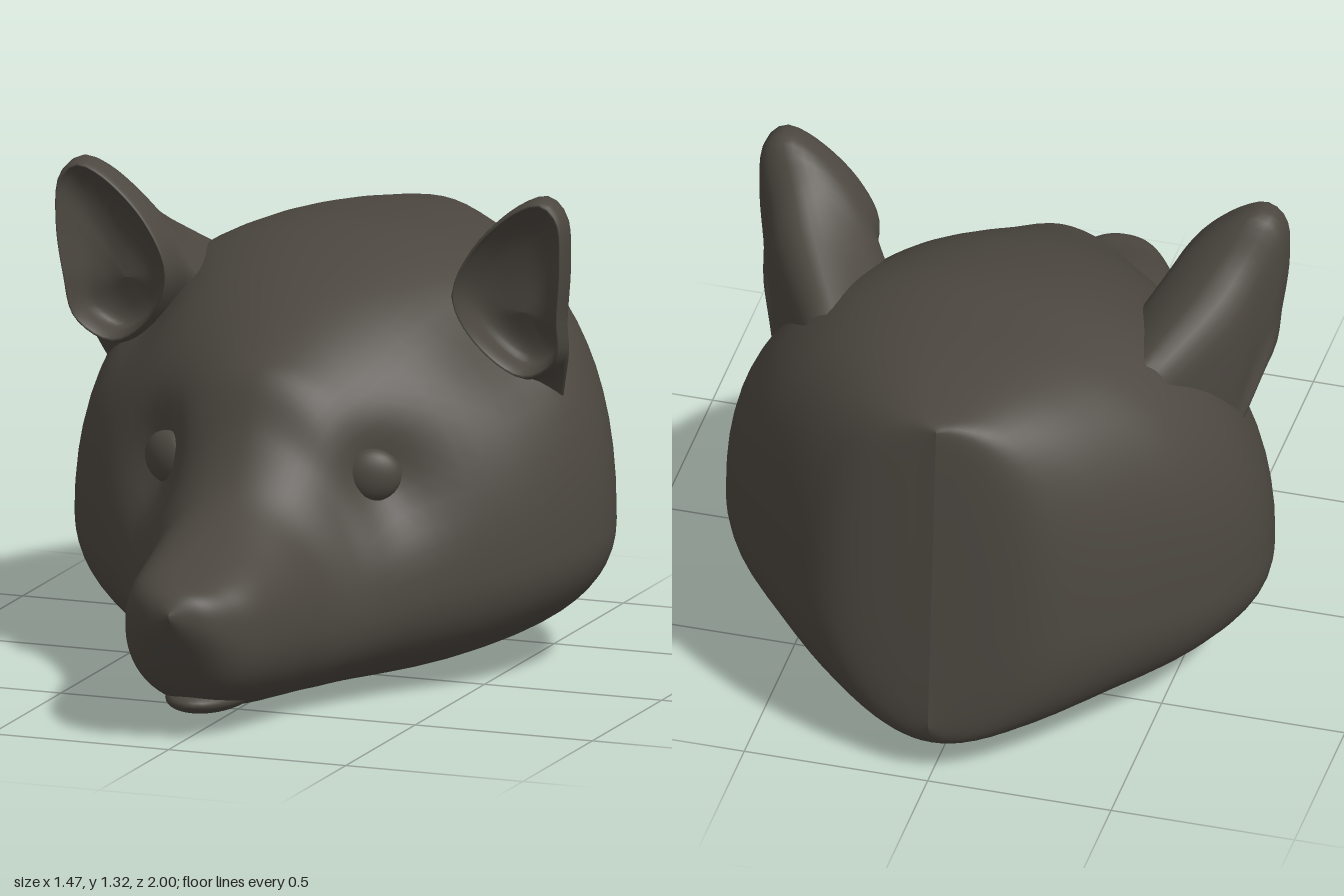
import * as THREE from 'three';

// Skin a list of closed rings (arrays of Vector3, counter-clockwise seen from +z)
function loft(rings) {
  const n = rings[0].length, pos = [], idx = [];
  rings.forEach(r => r.forEach(p => pos.push(p.x, p.y, p.z)));
  for (let i = 0; i < rings.length - 1; i++) {
    for (let j = 0; j < n; j++) {
      const k = (j + 1) % n, a = i * n + j, b = i * n + k, c = a + n, d = b + n;
      idx.push(a, c, b, b, c, d);
    }
  }
  const g = new THREE.BufferGeometry();
  g.setAttribute('position', new THREE.Float32BufferAttribute(pos, 3));
  g.setIndex(idx);
  g.computeVertexNormals();
  return g;
}

// Catmull-Rom blend through rows of numbers, t in row units
function sampleRows(rows, t) {
  const i = Math.min(Math.floor(t), rows.length - 2), f = t - i;
  const row = k => rows[Math.max(0, Math.min(rows.length - 1, k))];
  const [a, b, c, d] = [row(i - 1), row(i), row(i + 1), row(i + 2)];
  return b.map((v, k) => {
    const s = v + 0.5 * f * (c[k] - a[k] + f * (2 * a[k] - 5 * v + 4 * c[k] - d[k] + f * (3 * (v - c[k]) + d[k] - a[k])));
    return THREE.MathUtils.clamp(s, Math.min(v, c[k]) - 0.02, Math.max(v, c[k]) + 0.02);
  });
}

// Head sections: z, top, bottom, half width, height of widest point, upper roundness
const HEAD = [
  [1.00, 0.36, 0.35, 0.00, 0.355, 2],
  [0.96, 0.41, 0.26, 0.09, 0.33, 2.4],
  [0.885, 0.43, 0.135, 0.155, 0.30, 2.7],
  [0.80, 0.46, 0.08, 0.20, 0.28, 2.6],
  [0.65, 0.52, 0.045, 0.235, 0.27, 2.2],
  [0.52, 0.60, 0.03, 0.265, 0.26, 1.9],
  [0.42, 0.73, 0.025, 0.32, 0.26, 1.7],
  [0.35, 0.86, 0.02, 0.365, 0.27, 1.8],
  [0.25, 0.925, 0.015, 0.44, 0.29, 2.0],
  [0.00, 1.06, 0.00, 0.65, 0.34, 2.1],
  [-0.27, 1.135, 0.005, 0.735, 0.36, 2.25],
  [-0.50, 1.135, 0.025, 0.675, 0.38, 2.4],
  [-0.70, 1.12, 0.05, 0.54, 0.41, 2.5],
  [-0.86, 1.10, 0.07, 0.40, 0.44, 2.5],
  [-0.96, 1.085, 0.10, 0.25, 0.47, 2.5],
  [-1.00, 1.07, 0.17, 0.00, 0.50, 2.5],
];

// Hollows pressed into both sides of the head: x, y, z, spread, push in x, push in z
const HOLLOWS = [
  [0.33, 0.58, 0.28, 0.018, 0.05, 0.05],
  [0.56, 0.94, -0.05, 0.02, 0.02, 0.1],
];

function headGeometry() {
  const rings = [], STEPS = 6, N = 72;
  for (let s = 0; s <= (HEAD.length - 1) * STEPS; s++) {
    const [z, top, bot, w, mid, pTop] = sampleRows(HEAD, s / STEPS);
    // the back leans forward at the top
    const lean = 0.09 * THREE.MathUtils.clamp((-z - 0.4) / 0.6, 0, 1) ** 2;
    const ring = [];
    for (let j = 0; j < N; j++) {
      const a = j / N * Math.PI * 2, c = Math.cos(a), sn = Math.sin(a), p = sn > 0 ? pTop : 2.15;
      const x = Math.max(w, 0) * Math.sign(c) * Math.abs(c) ** (2 / p);
      const y = mid + (sn > 0 ? top - mid : bot - mid) * Math.abs(sn) ** (2 / p);
      const v = new THREE.Vector3(x, y, z + lean * (y - 0.16));
      for (const [hx, hy, hz, spread, px, pz] of HOLLOWS) {
        const d2 = (Math.abs(x) - hx) ** 2 + (y - hy) ** 2 + (z - hz) ** 2;
        const push = Math.exp(-d2 / spread);
        v.x -= Math.sign(x) * px * push;
        v.z -= pz * push;
      }
      ring.push(v);
    }
    rings.push(ring);
  }
  return loft(rings);
}

// Ear rim seen from the front, its lower edge set back into the cheek
const RIM = new THREE.CatmullRomCurve3([
  [0.58, 0.81], [0.68, 0.87], [0.70, 1.0], [0.715, 1.15], [0.705, 1.27],
  [0.66, 1.312], [0.59, 1.29], [0.46, 1.17], [0.40, 1.03], [0.46, 0.89],
].map(([x, y]) => new THREE.Vector3(x, y, -0.3 * Math.max(0, 1.05 - y))), true);

// Ear rings from cup centre over the rim to the buried root: centre x, y, z, scale
const EAR = [
  [0.56, 0.98, -0.13, 0],
  [0.56, 0.99, -0.125, 0.4],
  [0.57, 1.02, -0.09, 0.73],
  [0.575, 1.05, -0.03, 0.89],
  [0.575, 1.05, 0, 0.96],
  [0.575, 1.05, -0.025, 1.01],
  [0.565, 1.035, -0.085, 1.04],
  [0.51, 0.92, -0.155, 1.14],
  [0.45, 0.81, -0.25, 1.25],
  [0.36, 0.76, -0.42, 1.0],
];

function earGeometry(side) {
  const rim = RIM.getSpacedPoints(48).slice(0, 48), rings = [], STEPS = 4;
  for (let s = 0; s <= (EAR.length - 1) * STEPS; s++) {
    const [cx, cy, cz, k] = sampleRows(EAR, s / STEPS);
    const ring = rim.map(p => new THREE.Vector3(
      side * (cx + (p.x - 0.575) * k), cy + (p.y - 1.05) * k, cz + p.z * k));
    rings.push(side < 0 ? ring.reverse() : ring);
  }
  return loft(rings);
}

export function createModel() {
  const model = new THREE.Group();
  model.name = 'animalHead';
  const fur = new THREE.MeshStandardMaterial({ color: 0x4c4740 });
  fur.name = 'darkFur';
  const add = (name, geometry) => {
    const mesh = new THREE.Mesh(geometry, fur);
    mesh.name = name;
    model.add(mesh);
    return mesh;
  };

  add('head', headGeometry());

  // Lower lip under the muzzle
  const lip = add('lowerLip', new THREE.SphereGeometry(1, 32, 20));
  lip.scale.set(0.11, 0.045, 0.2);
  lip.position.set(0, 0.09, 0.68);

  for (const side of [1, -1]) {
    const label = side > 0 ? 'left' : 'right';
    add(label + 'Ear', earGeometry(side));
    const eye = add(label + 'Eye', new THREE.SphereGeometry(1, 28, 18));
    eye.scale.set(0.077, 0.071, 0.04);
    eye.position.set(side * 0.288, 0.605, 0.268);
    eye.rotation.y = side * 0.4;
  }
  return model;
}
